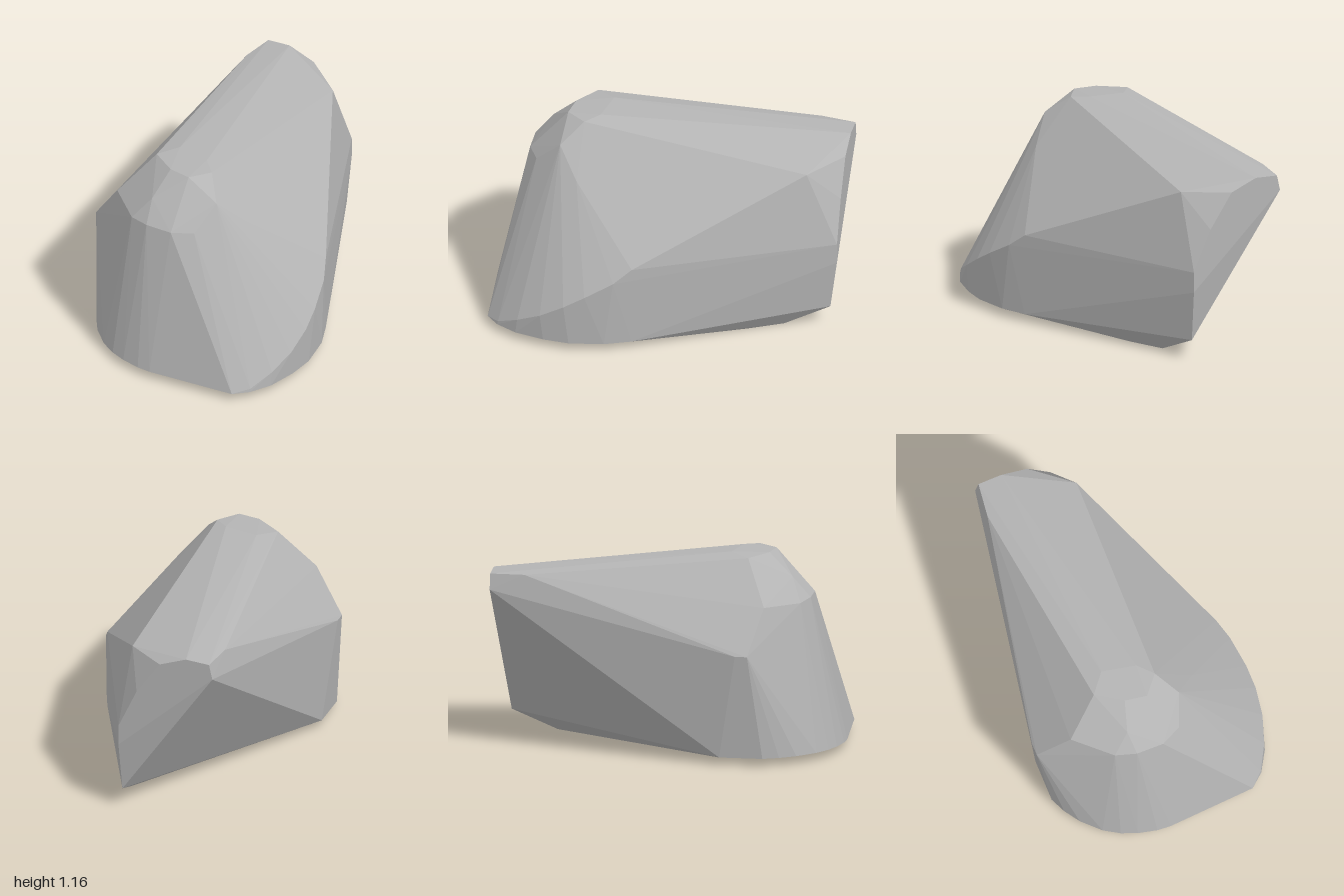
import * as THREE from 'three';
import { ConvexGeometry } from 'three/addons/geometries/ConvexGeometry.js';

// Faceted boulder: the convex skin stretched over a few outline rings.
export function createModel() {
  const stone = new THREE.MeshStandardMaterial({ color: 0xb4b4b4, flatShading: true });
  stone.name = 'stone grey';

  // rounded foot outline [x, z], almost level
  const foot = [
    [-0.62, 0.35], [-0.62, 0.6], [-0.58, 0.69], [-0.52, 0.78], [-0.42, 0.88], [-0.33, 0.935],
    [-0.24, 0.97], [-0.13, 0.995], [-0.05, 1], [0.47, 0.96], [0.55, 0.89], [0.62, 0.77],
    [0.665, 0.6], [0.68, 0.45], [0.65, 0.25], [0.59, 0.1],
  ].map(([x, z]) => [x, 0.045, z]);

  // lowest ridge under the tail
  const keel = [[0.25, 0, -0.5], [0.15, 0, -0.7], [0.11, 0.12, -0.96]];

  // flat end of the tail [x, y]
  const tail = [
    [0.12, 0.42], [0.12, 0.54], [0.01, 0.78], [-0.13, 0.98], [-0.29, 1.04], [-0.43, 1.03], [-0.45, 0.94],
  ].map(([x, y]) => [x, y, -1]);

  // shoulders just ahead of the tail end
  const shoulders = [[0.1, 0.97, -0.82], [-0.455, 1.035, -0.8]];

  // curved rim on the left side, side corner on the right
  const rim = [
    [0.59, 0.52, 0.1], [0.635, 0.44, 0.2], [0.67, 0.35, 0.36], [0.68, 0.28, 0.48],
    [0.665, 0.2, 0.62], [0.62, 0.13, 0.76], [0.55, 0.065, 0.885],
    [-0.68, 0.65, 0.45], [-0.68, 0.65, 0.52],
  ];

  // small crown and the bevel ring in front of it
  const crown = [
    [-0.31, 1.145, 0.47], [-0.22, 1.16, 0.36], [-0.02, 1.16, 0.4], [0.06, 1.15, 0.48],
    [-0.03, 1.15, 0.59], [-0.16, 1.15, 0.57],
  ];
  const bevel = [
    [-0.5, 0.9, 0.59], [-0.3, 0.89, 0.77], [-0.2, 1.02, 0.71], [-0.18, 0.9, 0.81], [-0.02, 0.9, 0.81],
    [0.1, 0.9, 0.75], [0.16, 1.04, 0.6], [0.29, 0.89, 0.48],
  ];

  const points = [foot, keel, tail, shoulders, rim, crown, bevel]
    .flat()
    .map((p) => new THREE.Vector3(...p));

  const boulder = new THREE.Mesh(new ConvexGeometry(points), stone);
  boulder.name = 'boulder';

  const model = new THREE.Group();
  model.name = 'rock';
  model.add(boulder);
  return model;
}
